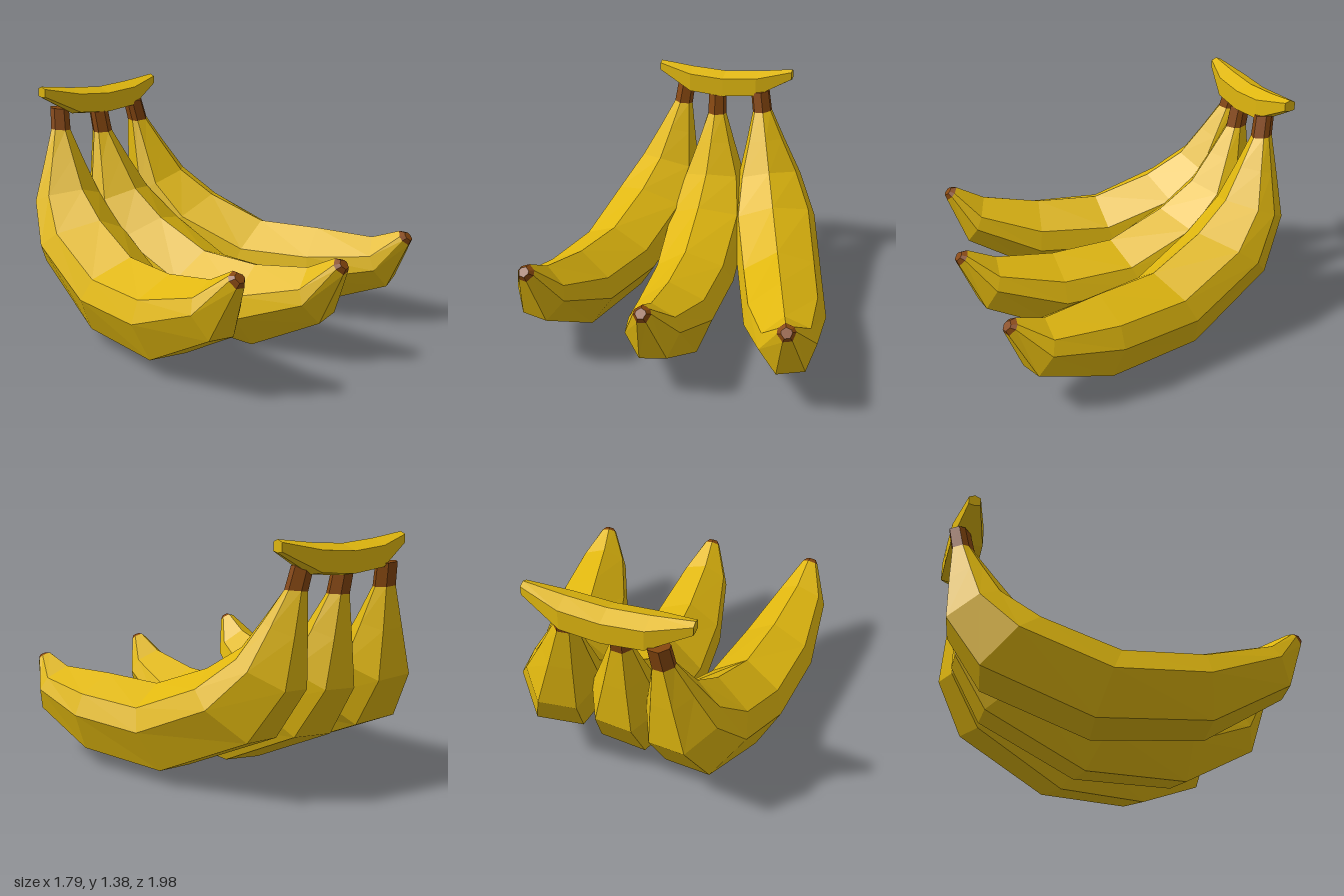
import * as THREE from 'three';

const peel = new THREE.MeshStandardMaterial({ color: 0xe0b70f });
peel.name = 'yellow peel';
const brown = new THREE.MeshStandardMaterial({ color: 0x86470f });
brown.name = 'brown stem';

const rad = THREE.MathUtils.degToRad;

// Faceted skin through a list of rings (each a loop of Vector3), capped at both ends
function loft(name, rings, material) {
  const pos = [];
  const tri = (...pts) => pts.forEach((p) => pos.push(p.x, p.y, p.z));
  const n = rings[0].length;
  for (let i = 0; i < rings.length - 1; i++) {
    for (let a = 0; a < n; a++) {
      const b = (a + 1) % n;
      tri(rings[i][a], rings[i + 1][a], rings[i][b]);
      tri(rings[i][b], rings[i + 1][a], rings[i + 1][b]);
    }
  }
  const first = rings[0], last = rings[rings.length - 1];
  for (let a = 1; a < n - 1; a++) {
    tri(first[0], first[a], first[a + 1]);
    tri(last[0], last[a + 1], last[a]);
  }
  const geo = new THREE.BufferGeometry();
  geo.setAttribute('position', new THREE.Float32BufferAttribute(pos, 3));
  geo.computeVertexNormals();
  const mesh = new THREE.Mesh(geo, material);
  mesh.name = name;
  return mesh;
}

// Inner and outer edge of the fruit, from stem to tip: [innerZ, innerY, outerZ, outerY]
const PROFILE = [
  [0.03, 0.945, -0.085, 0.95],
  [0.06, 0.82, -0.06, 0.82],
  [0.17, 0.67, -0.06, 0.59],
  [0.30, 0.50, -0.055, 0.32],
  [0.52, 0.36, 0.13, 0.03],
  [0.87, 0.23, 0.70, -0.225],
  [1.25, 0.24, 1.29, -0.205],
  [1.60, 0.31, 1.72, 0.04],
  [1.765, 0.40, 1.83, 0.33],
  [1.80, 0.40, 1.84, 0.36],
];

// Cross-section: ridge on the inner curve, shoulders, sides and a flat outer face
const SECTION = [[0, 1], [0.84, 0.52], [1, 0], [0.5, -0.87], [-0.5, -0.87], [-1, 0], [-0.84, 0.52]];

// twist turns the cross-sections about the fruit's axis; droop lowers the tip end
function makeBanana({ name, position, yaw, pitch, roll, twist, droop }) {
  const origin = new THREE.Vector2();
  const section = SECTION.map(([x, y]) => new THREE.Vector2(x, y).rotateAround(origin, rad(twist)));
  const rings = PROFILE.map(([iz, iy, oz, oy]) => {
    const u = new THREE.Vector3(0, iy - oy, iz - oz).divideScalar(1.87);
    const center = new THREE.Vector3(0, iy, iz).sub(u);
    center.y -= droop * Math.max(0, (center.z - 1.27) / 0.53);
    const width = u.length() * 0.97;
    return section.map((s) => {
      const p = center.clone().addScaledVector(u, s.y);
      p.x += width * s.x;
      return p;
    });
  });
  const g = new THREE.Group();
  g.name = name;
  g.add(
    loft('stem', rings.slice(0, 2), brown),
    loft('body', rings.slice(1, 9), peel),
    loft('tip', rings.slice(8), brown),
  );
  g.rotation.set(rad(pitch), rad(yaw), rad(roll), 'YXZ');
  g.position.set(...position);
  return g;
}

// Curved crown joining the three stems: [x, centreY, halfHeight, halfDepth]
function makeCrown() {
  const section = [[0, 1], [-1, 0.6], [-1, -0.8], [0, -1], [1, -0.8], [1, 0.6]];
  const rings = [
    [-0.44, 1.36, 0.033, 0.032],
    [-0.22, 1.287, 0.08, 0.088],
    [0, 1.27, 0.082, 0.092],
    [0.22, 1.287, 0.08, 0.088],
    [0.44, 1.36, 0.033, 0.032],
  ].map(([x, y, h, d]) => section.map(([sz, sy]) => new THREE.Vector3(x, y + sy * h, sz * d)));
  const crown = loft('crown', rings, peel);
  crown.position.set(-0.255, 0, -0.88);
  crown.rotation.y = rad(8.5);
  return crown;
}

export function createModel() {
  const model = new THREE.Group();
  model.name = 'bananaBunch';
  model.add(
    makeBanana({ name: 'rightBanana', position: [-0.63, 0.3, -0.86], yaw: -1, pitch: 0, roll: -5.5, twist: 0, droop: 0 }),
    makeBanana({ name: 'middleBanana', position: [-0.26, 0.265, -0.835], yaw: 11, pitch: 1.5, roll: 2, twist: 5, droop: 0 }),
    makeBanana({ name: 'leftBanana', position: [0.105, 0.31, -0.9], yaw: 23.3, pitch: 0.5, roll: 7, twist: 0, droop: 0.1 }),
    makeCrown(),
  );
  return model;
}
